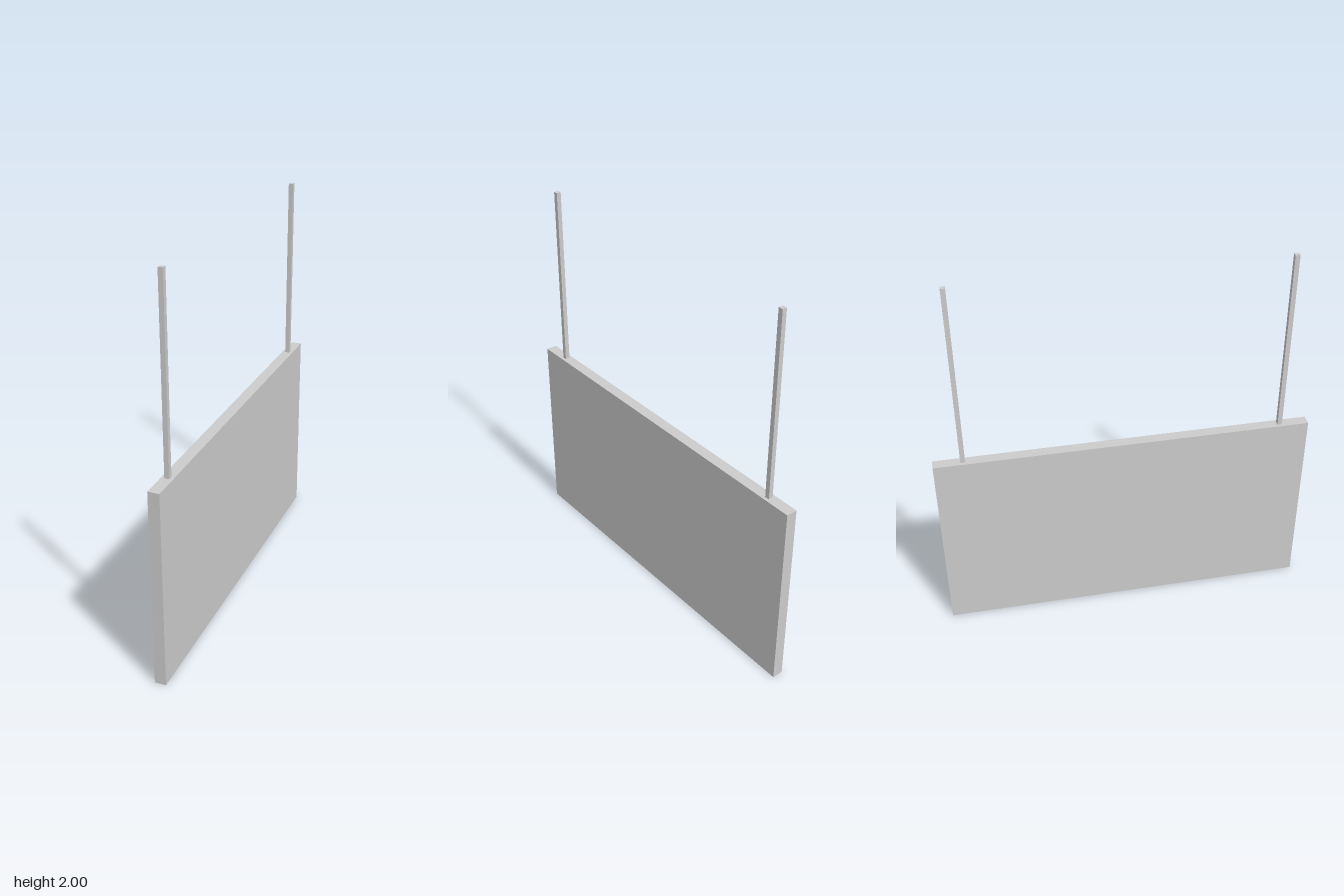
import * as THREE from 'three';

const PANEL_HEIGHT = 1.03;
const TOTAL_HEIGHT = 2;

export function createModel() {
  const group = new THREE.Group();
  group.name = 'hangingSign';
  const material = new THREE.MeshStandardMaterial({ color: 0xcccccc });

  // Box standing on a given height
  const addBox = (name, width, height, depth, bottom, z) => {
    const mesh = new THREE.Mesh(new THREE.BoxGeometry(width, height, depth), material);
    mesh.name = name;
    mesh.position.set(0, bottom + height / 2, z);
    group.add(mesh);
  };

  // Flat sign board
  addBox('signPanel', 0.058, PANEL_HEIGHT, 1.944, 0, 0);

  // Thin hanging rods near both ends of the board
  for (const [name, side] of [['frontRod', 1], ['backRod', -1]]) {
    addBox(name, 0.024, TOTAL_HEIGHT - PANEL_HEIGHT, 0.024, PANEL_HEIGHT, side * 0.822);
  }

  return group;
}
